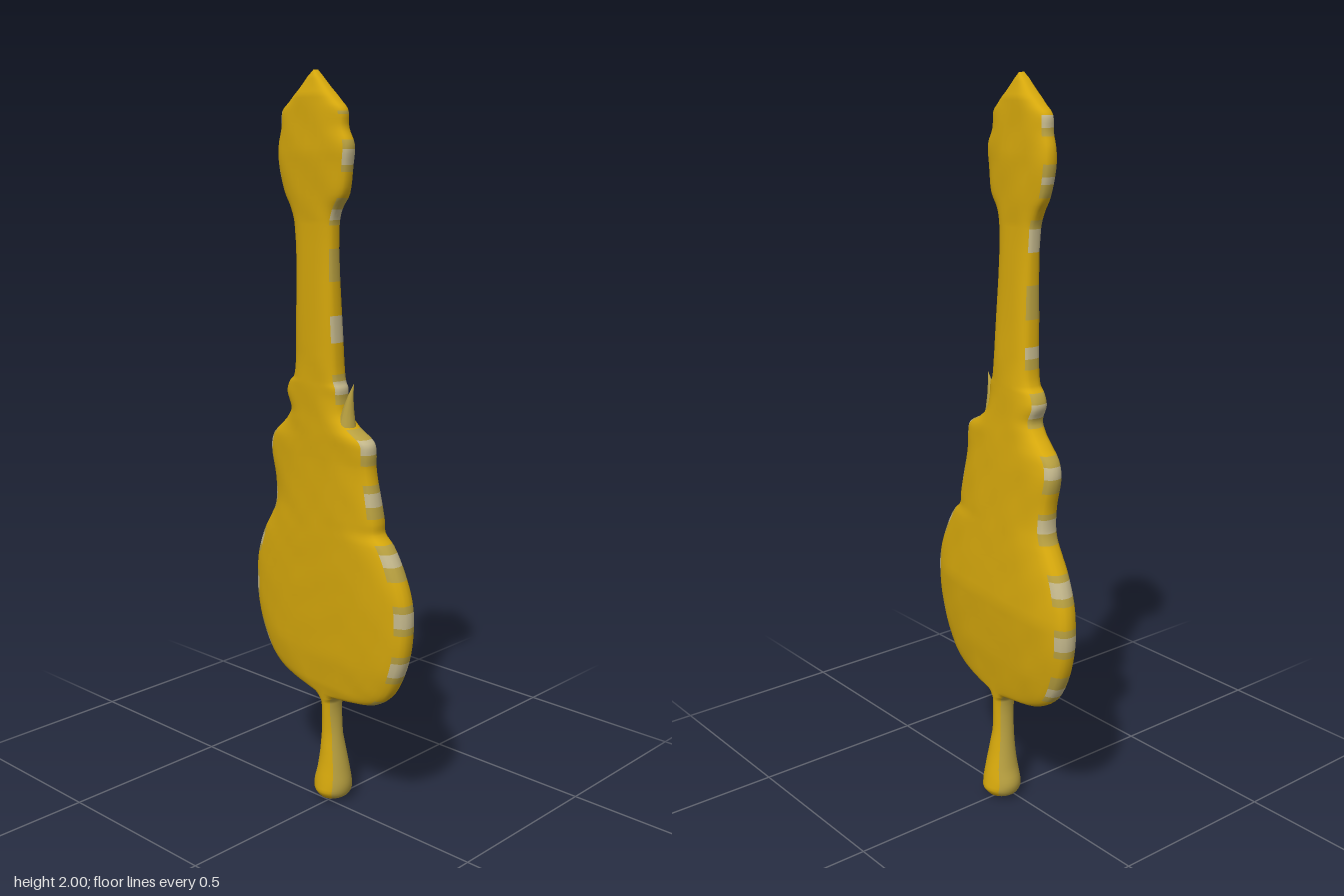
import * as THREE from 'three';

// Silhouette: height, right edge (-x), left edge (+x)
const OUTLINE = [
  [0.005, -0.03, 0.02], [0.02, -0.052, 0.042], [0.05, -0.06, 0.05], [0.1, -0.046, 0.044],
  [0.2, -0.031, 0.029], [0.3, -0.028, 0.025], [0.322, -0.045, 0.04], [0.335, -0.11, 0.12],
  [0.35, -0.18, 0.19], [0.38, -0.232, 0.235], [0.42, -0.265, 0.265], [0.5, -0.3, 0.298],
  [0.58, -0.313, 0.31], [0.66, -0.306, 0.306], [0.74, -0.275, 0.277], [0.8, -0.235, 0.24],
  [0.83, -0.215, 0.207], [0.86, -0.206, 0.205], [0.92, -0.207, 0.195], [1.0, -0.222, 0.18],
  [1.04, -0.21, 0.182], [1.07, -0.175, 0.175], [1.1, -0.14, 0.12], [1.13, -0.122, 0.088],
  [1.17, -0.137, 0.08], [1.2, -0.125, 0.08], [1.22, -0.103, 0.07], [1.32, -0.09, 0.066],
  [1.62, -0.085, 0.066], [1.66, -0.1, 0.08], [1.7, -0.125, 0.11], [1.77, -0.143, 0.125],
  [1.82, -0.142, 0.131], [1.86, -0.13, 0.112], [1.9, -0.126, 0.11], [1.925, -0.095, 0.085],
  [1.955, -0.055, 0.05], [1.985, -0.022, 0.018],
];
// Depth: height, centre z, half thickness
const DEPTH = [
  [0, -0.025, 0.03], [0.03, -0.025, 0.055], [0.1, -0.023, 0.045], [0.2, -0.018, 0.03],
  [0.3, -0.015, 0.032], [0.36, -0.012, 0.042], [0.45, -0.012, 0.052], [0.62, -0.014, 0.06],
  [0.8, -0.006, 0.055], [1.0, 0.003, 0.048], [1.2, 0.016, 0.042], [1.4, 0.026, 0.037],
  [1.6, 0.033, 0.031], [1.8, 0.04, 0.036], [1.94, 0.043, 0.03], [2, 0.045, 0.012],
];
const SEGMENTS = 36, STEPS = 4;

// Linear lookup in a table keyed by height
function lookup(table, y) {
  let k = 0;
  while (k < table.length - 2 && y > table[k + 1][0]) k++;
  const [a, b] = [table[k], table[k + 1]];
  const t = THREE.MathUtils.clamp((y - a[0]) / (b[0] - a[0]), 0, 1);
  return a.map((v, n) => v + (b[n] - v) * t);
}

const power = (v, e) => Math.sign(v) * Math.abs(v) ** e;

// Closed rounded slab lofted through the outline, leaning slightly about its long axis
function loftGeometry() {
  const rows = [];
  const curve = new THREE.CatmullRomCurve3(
    OUTLINE.map(([y, l, r]) => new THREE.Vector3(l, y, r)), false, 'centripetal');
  const count = (OUTLINE.length - 1) * STEPS;
  rows.push([0, -0.006, -0.004]);
  for (let i = 0; i <= count; i++) {
    const p = curve.getPoint(i / count);
    rows.push([p.y, p.x, p.z]);
  }
  rows.push([2, -0.001, 0.001]);

  const positions = [];
  for (const [y, l, r] of rows) {
    const [, zc, half] = lookup(DEPTH, y);
    const e = y < 0.31 ? 1 : 0.72;
    const tilt = y < 0.31 ? 0 : 0.1;
    for (let j = 0; j < SEGMENTS; j++) {
      const a = (j / SEGMENTS) * Math.PI * 2;
      const x = (l + r) / 2 + power(Math.cos(a), e) * (r - l) / 2;
      const thickness = y < 0.01 || y > 1.995 ? 0.008 : half;
      const ripple = 0.0015 * Math.sin(x * 45 + y * 13) * Math.sin(y * 38) * Math.sin(a);
      positions.push(x, y, zc + x * tilt + power(Math.sin(a), e) * thickness + ripple);
    }
  }
  // Faces sorted by colour: 0 gold, 1 khaki, 2 pale
  const faces = [[], [], []];
  for (let i = 0; i < rows.length - 1; i++) {
    const y = (rows[i][0] + rows[i + 1][0]) / 2;
    for (let j = 0; j < SEGMENTS; j++) {
      const c = Math.cos(((j + 0.5) / SEGMENTS) * Math.PI * 2);
      const band = Math.sin(y * 43 + (c > 0 ? 0 : 2));
      let m = 0;
      if (y < 0.33) m = Math.abs(c) > 0.6 ? 1 : 0;
      else if (Math.abs(c) > 0.86 && y < 1.9) m = band > 0.75 ? 2 : band > -0.3 ? 1 : 0;
      const p = i * SEGMENTS + j, q = i * SEGMENTS + (j + 1) % SEGMENTS;
      faces[m].push(p, p + SEGMENTS, q, q, p + SEGMENTS, q + SEGMENTS);
    }
  }
  // End caps
  const last = (rows.length - 1) * SEGMENTS;
  for (let j = 1; j < SEGMENTS - 1; j++) {
    faces[0].push(0, j, j + 1, last, last + j + 1, last + j);
  }
  const geometry = new THREE.BufferGeometry();
  geometry.setAttribute('position', new THREE.Float32BufferAttribute(positions, 3));
  geometry.setIndex(faces.flat());
  let start = 0;
  faces.forEach((f, m) => {
    geometry.addGroup(start, f.length, m);
    start += f.length;
  });
  geometry.computeVertexNormals();
  return geometry;
}

export function createModel() {
  const model = new THREE.Group();
  model.name = 'guitar';
  const material = (name, color) => {
    const m = new THREE.MeshStandardMaterial({ color });
    m.name = name;
    return m;
  };
  const gold = material('gold', 0xd6a80c);
  const khaki = material('khaki', 0xb8a040);
  const pale = material('pale beige', 0xc4b88c);

  // Handle, body, neck and head in one continuous skin
  const body = new THREE.Mesh(loftGeometry(), [gold, khaki, pale]);
  body.name = 'guitarBody';
  model.add(body);

  // Small pointed horn beside the neck
  const hornGeometry = new THREE.ConeGeometry(0.028, 0.13, 12, 4);
  const pos = hornGeometry.attributes.position;
  for (let i = 0; i < pos.count; i++) {
    const t = pos.getY(i) / 0.13 + 0.5;
    pos.setX(i, pos.getX(i) + 0.025 * t * t);
  }
  hornGeometry.computeVertexNormals();
  const horn = new THREE.Mesh(hornGeometry, khaki);
  horn.name = 'horn';
  horn.position.set(0.09, 1.155, 0.025);
  model.add(horn);

  return model;
}
